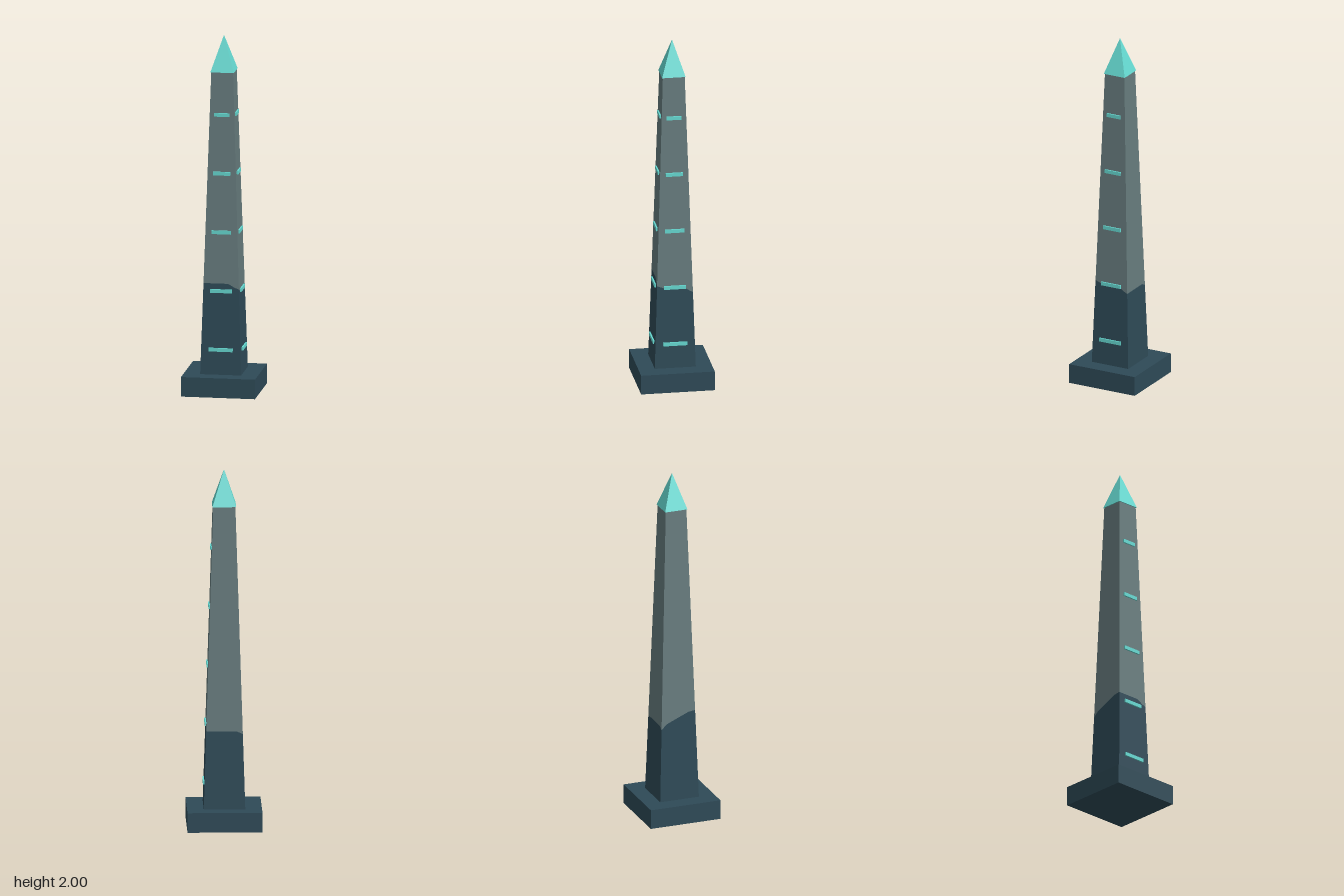
import * as THREE from 'three';

const flat = (name, color) => {
  const m = new THREE.MeshStandardMaterial({ color });
  m.name = name;
  return m;
};

// Half-width of the tapering shaft at height y
const BOTTOM = 0.11, TOP = 1.8;
const half = (y) => THREE.MathUtils.mapLinear(y, BOTTOM, TOP, 0.114, 0.061);

// Uneven colour border around the shaft: [u, v, height], u and v on a unit square
const BORDER = [
  [-1, 1, 0.62], [0.4, 1, 0.62], [0.75, 1, 0.6], [1, 1, 0.59],
  [1, 0.6, 0.575], [1, -0.6, 0.57], [1, -0.8, 0.555], [1, -1, 0.545],
  [0, -1, 0.545], [-0.7, -1, 0.545], [-1, -1, 0.53],
  [-1, -0.7, 0.56], [-1, 0, 0.59], [-1, 0.6, 0.615],
];

// Strip of walls following the square taper between two heights per border point
function wall(lowAt, highAt) {
  const pos = [];
  const point = ([u, v], y) => [u * half(y), y, v * half(y)];
  BORDER.forEach((p, i) => {
    const q = BORDER[(i + 1) % BORDER.length];
    const a = point(p, lowAt(p)), b = point(q, lowAt(q));
    const c = point(q, highAt(q)), d = point(p, highAt(p));
    pos.push(...a, ...b, ...c, ...a, ...c, ...d);
  });
  const g = new THREE.BufferGeometry();
  g.setAttribute('position', new THREE.Float32BufferAttribute(pos, 3));
  g.computeVertexNormals();
  return g;
}

export function createModel() {
  const darkStone = flat('dark stone', 0x2e4a57);
  const greyStone = flat('grey stone', 0x677c7e);
  const turquoise = flat('turquoise', 0x66dad2);
  const model = new THREE.Group();
  model.name = 'obelisk';

  const add = (name, geometry, material, x = 0, y = 0, z = 0) => {
    const mesh = new THREE.Mesh(geometry, material);
    mesh.name = name;
    mesh.position.set(x, y, z);
    model.add(mesh);
    return mesh;
  };

  // Plinth
  add('plinth', new THREE.BoxGeometry(0.412, BOTTOM, 0.41), darkStone, 0, BOTTOM / 2, 0);

  // Shaft in two colours
  add('lowerShaft', wall(() => BOTTOM, (p) => p[2]), darkStone);
  add('upperShaft', wall((p) => p[2], () => TOP), greyStone);

  // Pyramid cap, slightly overhanging the shaft
  const cap = new THREE.ConeGeometry(0.0655 * Math.SQRT2, 0.2, 4, 1).rotateY(Math.PI / 4).toNonIndexed();
  cap.computeVertexNormals();
  add('cap', cap, turquoise, 0, 1.9, 0);

  // Glowing bars up the front and left faces
  for (let i = 0; i < 5; i++) {
    const y = 0.25 + i * 0.3285;
    const h = half(y);
    const bar = new THREE.BoxGeometry(h * 1.22, 0.02, 0.016);
    add('frontBar', bar, turquoise, 0, y, h);
    add('leftBar', bar, turquoise, h, y, 0).rotation.y = Math.PI / 2;
  }
  return model;
}
